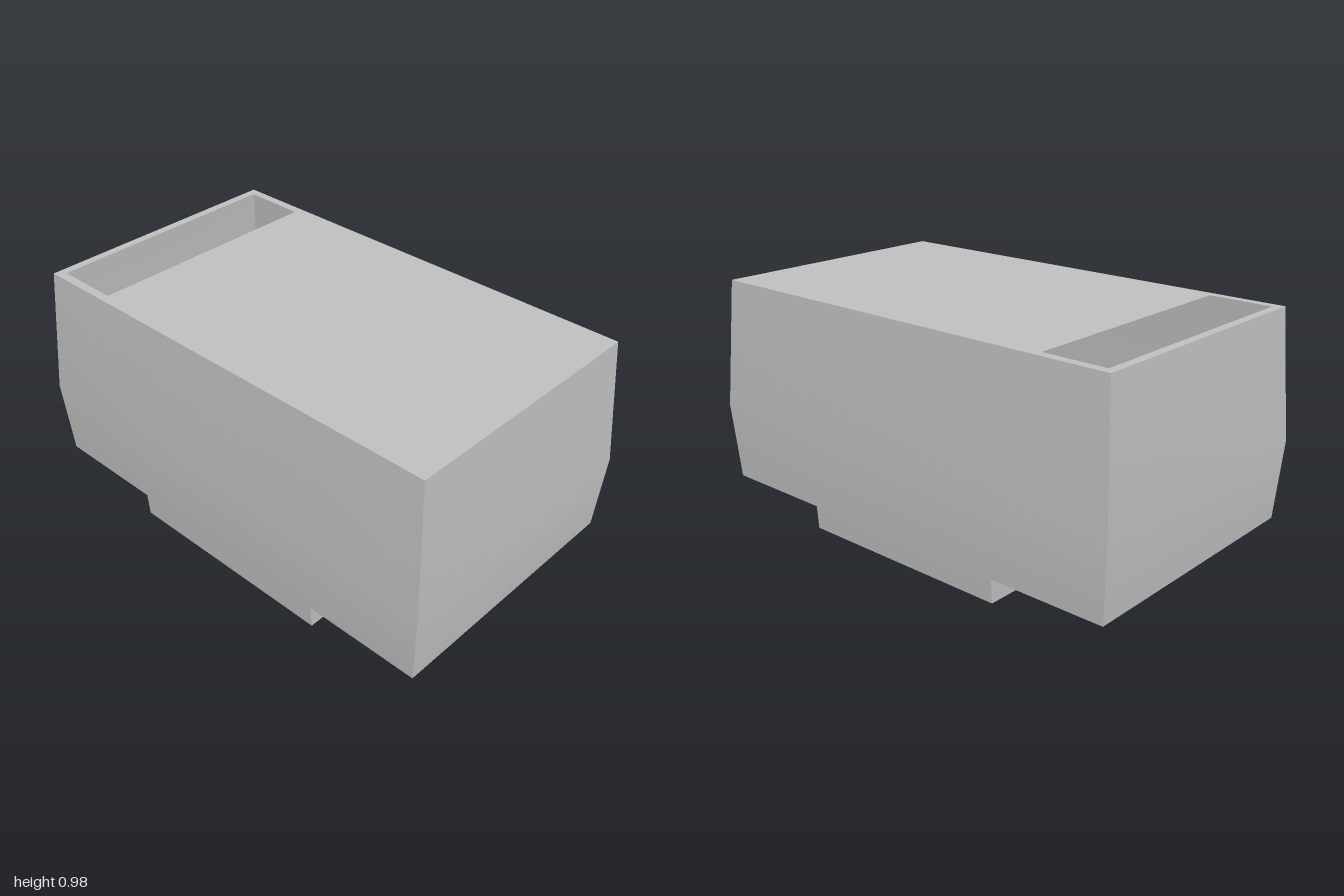
import * as THREE from 'three';

// Thin hollow cover: levels from top to bottom as [y, half width x, half depth z]
const TOP = [0.975, 0.965, 0.557];
const BULGE = [0.43, 1, 0.592];
const RIM = [0.1, 0.978, 0.57];
const BASE = [0, 0.972, 0.563];
const TAB = 0.48; // half width of the lowered middle part
const GAP = 0.33; // half depth of the openings underneath

// Gently bowed wall facing +z; the lowest row is only the middle tab
function wallGeometry(rows, mid, hasTab) {
  const positions = [], index = [];
  for (const [y, half, depth] of rows) {
    for (const u of [-half, -mid, mid, half]) positions.push(u, y, depth);
  }
  for (let r = 0; r < rows.length - 1; r++) {
    for (let c = 0; c < 3; c++) {
      if (hasTab && r === rows.length - 2 && c !== 1) continue;
      const a = r * 4 + c, b = a + 4;
      index.push(a, b, b + 1, a, b + 1, a + 1);
    }
  }
  const g = new THREE.BufferGeometry();
  g.setAttribute('position', new THREE.Float32BufferAttribute(positions, 3));
  g.setIndex(index);
  g.computeVertexNormals();
  return g;
}

const polygon = (pts) => pts.map(([x, y]) => new THREE.Vector2(x, y));
const rectangle = (x0, x1, z) => polygon([[x0, -z], [x1, -z], [x1, z], [x0, z]]);

export function createModel() {
  const group = new THREE.Group();
  const grey = new THREE.MeshStandardMaterial({ color: 0xbfbfbf, side: THREE.DoubleSide });
  grey.name = 'grey';

  const add = (name, geometry, y = 0) => {
    const mesh = new THREE.Mesh(geometry, grey);
    mesh.name = name;
    mesh.position.y = y;
    group.add(mesh);
    return mesh;
  };

  // Front and back walls with the lowered tab
  const longWall = wallGeometry([TOP, BULGE, RIM, BASE], TAB, true);
  add('frontWall', longWall);
  add('backWall', longWall).rotation.y = Math.PI;

  // End walls
  const endWall = wallGeometry([TOP, BULGE, RIM].map(([y, x, z]) => [y, z, x]), GAP, false);
  add('leftWall', endWall).rotation.y = Math.PI / 2;
  add('rightWall', endWall).rotation.y = -Math.PI / 2;

  // Top panel with a long slot at one end
  const top = new THREE.Shape(rectangle(-TOP[1], TOP[1], TOP[2]));
  top.holes.push(new THREE.Path(rectangle(-0.93, -0.66, 0.52)));
  add('topPanel', new THREE.ShapeGeometry(top).rotateX(-Math.PI / 2), TOP[0]);

  // Bottom of the lowered middle
  const base = new THREE.Shape(rectangle(-TAB, TAB, BASE[2]));
  add('basePanel', new THREE.ShapeGeometry(base).rotateX(Math.PI / 2), BASE[0]);

  // Raised undersides, each open at its outer edge, and the step down to the base
  const [, rx, rz] = RIM;
  const under = new THREE.Shape(polygon([
    [TAB, -rz], [rx, -rz], [rx, -GAP], [TAB + 0.015, -GAP],
    [TAB + 0.015, GAP], [rx, GAP], [rx, rz], [TAB, rz],
  ]));
  const step = new THREE.Shape(polygon([
    [-BASE[2], BASE[0]], [BASE[2], BASE[0]], [rz, RIM[0]], [-rz, RIM[0]],
  ]));
  for (const [side, turn] of [['left', 0], ['right', Math.PI]]) {
    add(side + 'Underside', new THREE.ShapeGeometry(under).rotateX(Math.PI / 2), RIM[0]).rotation.y = turn;
    const stepGeometry = new THREE.ShapeGeometry(step).translate(0, 0, TAB).rotateY(Math.PI / 2);
    add(side + 'Step', stepGeometry).rotation.y = turn;
  }

  return group;
}
